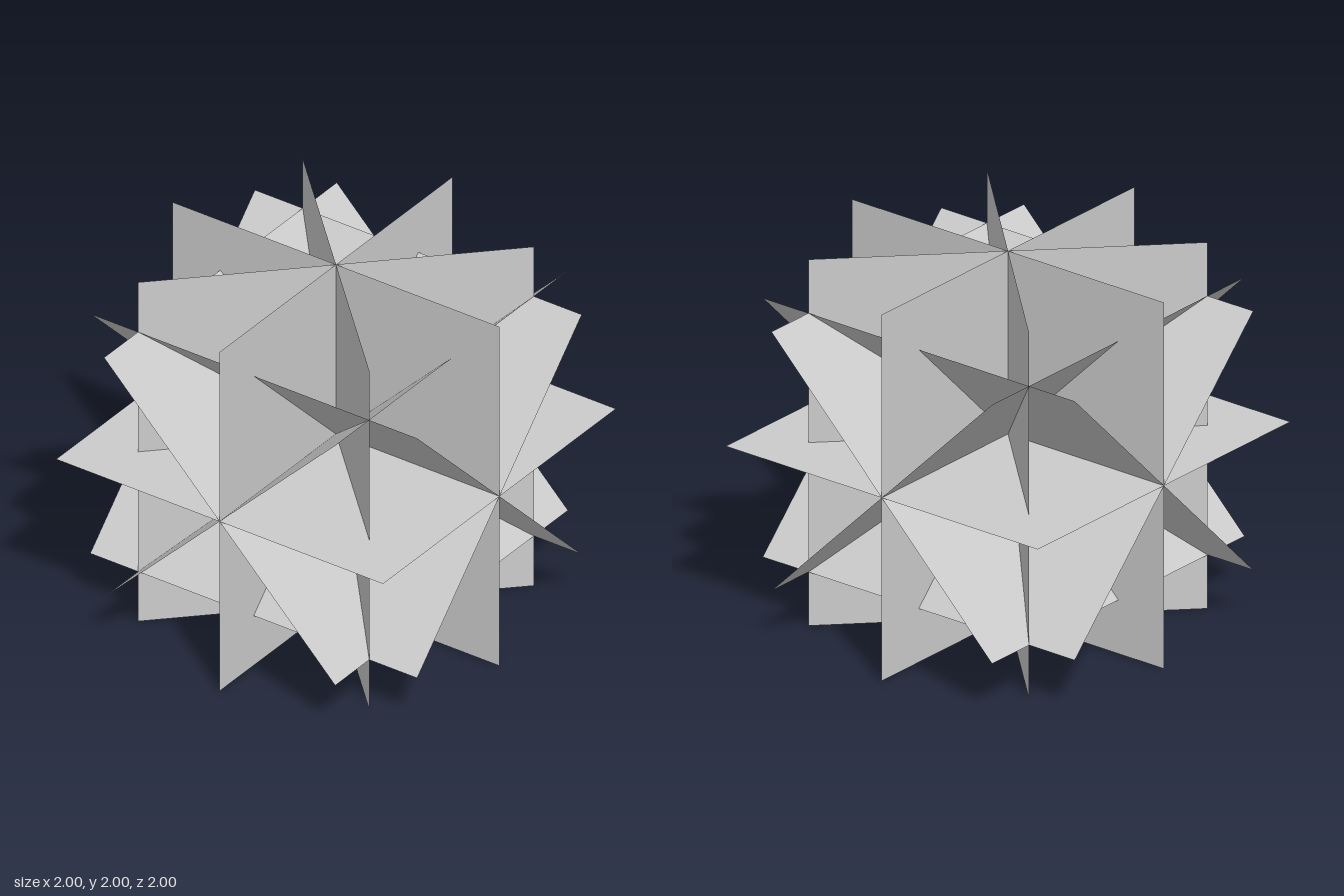
import * as THREE from 'three';

// Nine equal squares crossing at one centre: three along the axes, six diagonal.
export function createModel() {
  const model = new THREE.Group();
  model.name = 'crossedSquares';

  const material = new THREE.MeshStandardMaterial({
    color: 0xcccccc, side: THREE.DoubleSide, flatShading: true,
  });
  const square = new THREE.PlaneGeometry(2, 2);

  function addSquare(name, normal, spin) {
    const mesh = new THREE.Mesh(square, material);
    mesh.name = name;
    // Turn the square to its base plane, then swing it about the given axis
    mesh.quaternion.setFromUnitVectors(new THREE.Vector3(0, 0, 1), normal);
    if (spin) mesh.quaternion.premultiply(spin);
    mesh.position.y = 1;
    model.add(mesh);
  }

  const axes = {
    X: new THREE.Vector3(1, 0, 0),
    Y: new THREE.Vector3(0, 1, 0),
    Z: new THREE.Vector3(0, 0, 1),
  };
  const next = { X: 'Y', Y: 'Z', Z: 'X' };

  for (const [key, axis] of Object.entries(axes)) {
    // Square facing along the axis
    addSquare(`straightSquare${key}`, axis);
    // Pair of diagonal squares hinged on the axis
    for (const side of [1, -1]) {
      const spin = new THREE.Quaternion().setFromAxisAngle(axis, side * Math.PI / 4);
      addSquare(`diagonalSquare${key}${side > 0 ? 'A' : 'B'}`, axes[next[key]], spin);
    }
  }
  return model;
}
